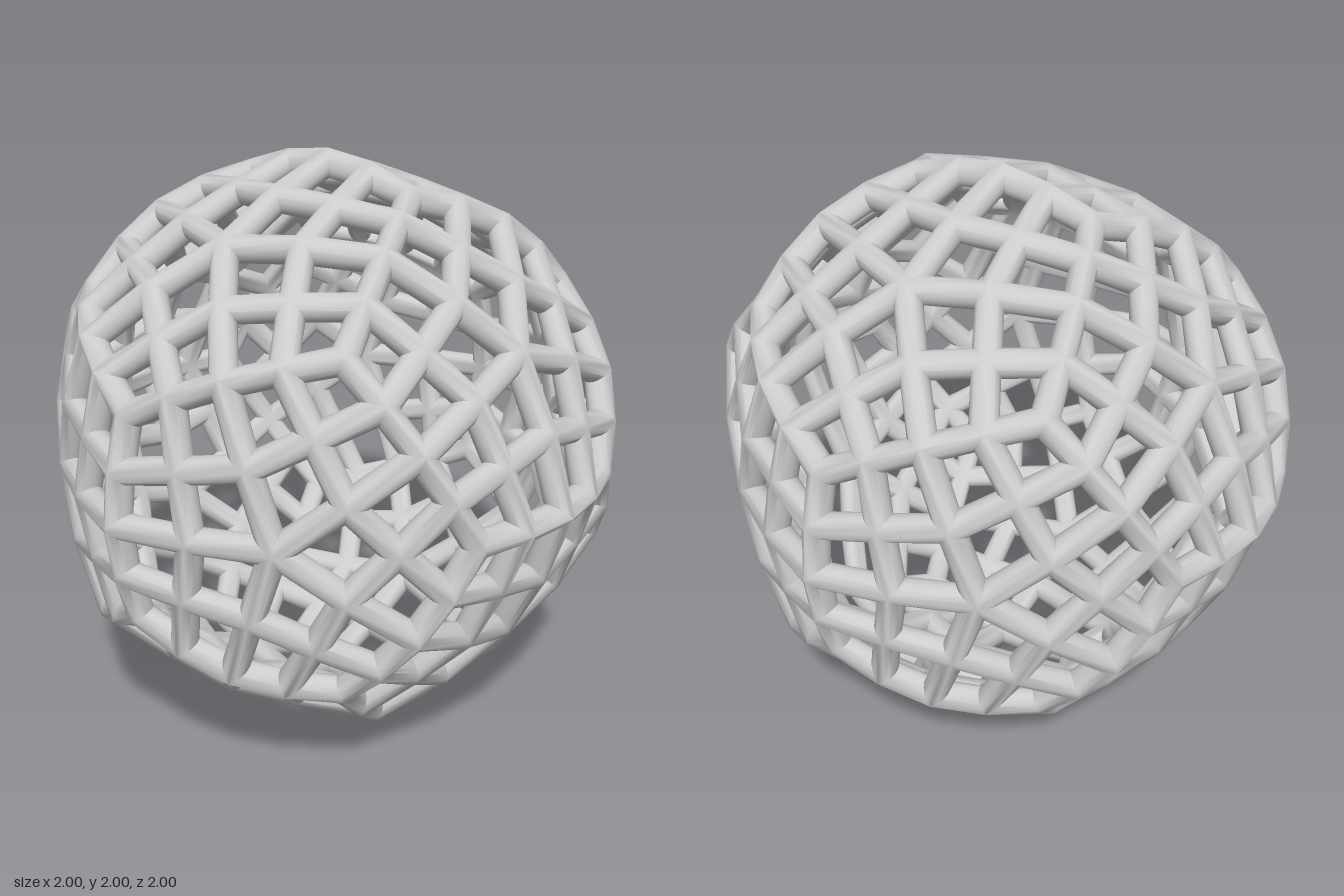
import * as THREE from 'three';
import { toCreasedNormals } from 'three/addons/utils/BufferGeometryUtils.js';

const BAR = 0.044;                                  // bar radius
// Distance of each kind of node from the middle of the ball
const R_EDGE = 1 - BAR, R_QUARTER = 0.95, R_CORNER = 0.945;
const R_ARM = 0.908, R_KITE = 0.908, R_CENTRE = 0.892;
const STEPS = 8;                                    // segments round half a bar

// The twelve directions of the face centres
function faceDirections() {
  const phi = (1 + Math.sqrt(5)) / 2, dirs = [];
  for (const s of [1, -1]) for (const t of [phi, -phi]) {
    dirs.push(new THREE.Vector3(0, s, t), new THREE.Vector3(s, t, 0), new THREE.Vector3(t, 0, s));
  }
  return dirs.map((d) => d.normalize());
}

// Node midway between some points, at a given radius
const node = (radius, ...pts) => pts.reduce((s, p) => s.add(p), new THREE.Vector3()).setLength(radius);

// Each domed pentagon is five kites, each kite is 2 x 2 cells
function latticeCells() {
  const dirs = faceDirections(), cells = [];
  for (const c of dirs) {
    const u = new THREE.Vector3(0.31, 0.77, 0.56).cross(c).normalize();
    const v = c.clone().cross(u);
    const angle = (d) => Math.atan2(d.dot(v), d.dot(u));
    const ring = dirs.filter((d) => Math.abs(d.dot(c) - 0.447) < 0.05).sort((a, b) => angle(a) - angle(b));
    const centre = node(R_CENTRE, c);
    ring.forEach((d, i) => {
      const e = ring[(i + 1) % 5];
      const m0 = node(R_EDGE, c, d), m1 = node(R_EDGE, c, e);
      const corner = node(R_CORNER, c, d, e);
      const a0 = node(R_ARM, centre, m0), a1 = node(R_ARM, centre, m1);
      const q0 = node(R_QUARTER, m0, corner), q1 = node(R_QUARTER, m1, corner);
      const k = node(R_KITE, centre, m0, corner, m1);
      cells.push([centre, a0, k, a1], [a0, m0, q0, k], [k, q0, corner, q1], [a1, k, q1, m1]);
    });
  }
  return cells;
}

// Round bars, mitred at every node: each cell carries the half bars around its opening
function latticeGeometry() {
  const cells = latticeCells(), normals = new Map();
  const key = (p) => p.toArray().map((n) => Math.round(n * 1000)).join();
  for (const q of cells) {
    const n = q[2].clone().sub(q[0]).cross(q[3].clone().sub(q[1])).normalize();
    for (const p of q) {
      if (!normals.has(key(p))) normals.set(key(p), new THREE.Vector3());
      normals.get(key(p)).add(n);
    }
  }
  normals.forEach((n) => n.normalize());

  const pos = [];
  for (const q of cells) {
    // Half-circle profile at each corner, from outer ridge through the opening's edge to inner ridge
    const profiles = q.map((p, i) => {
      const e1 = q[(i + 1) % 4].clone().sub(p).normalize();
      const e2 = q[(i + 3) % 4].clone().sub(p).normalize();
      const inset = e1.clone().add(e2).multiplyScalar(BAR / Math.sin(e1.angleTo(e2)));
      const n = normals.get(key(p));
      return Array.from({ length: STEPS + 1 }, (_, s) => {
        const t = (s / STEPS) * Math.PI;
        return p.clone().addScaledVector(n, BAR * Math.cos(t)).addScaledVector(inset, Math.sin(t));
      });
    });
    for (let i = 0; i < 4; i++) {
      const a = profiles[i], b = profiles[(i + 1) % 4];
      for (let s = 0; s < STEPS; s++) {
        for (const p of [a[s], b[s], b[s + 1], a[s], b[s + 1], a[s + 1]]) pos.push(p.x, p.y, p.z);
      }
    }
  }
  const geo = new THREE.BufferGeometry();
  geo.setAttribute('position', new THREE.Float32BufferAttribute(pos, 3));
  return toCreasedNormals(geo, 0.9);
}

export function createModel() {
  const group = new THREE.Group();
  group.name = 'latticeBall';
  const shell = new THREE.Mesh(latticeGeometry(), new THREE.MeshStandardMaterial({ color: 0xcccccc }));
  shell.name = 'latticeShell';
  shell.position.y = 1;
  group.add(shell);
  return group;
}
